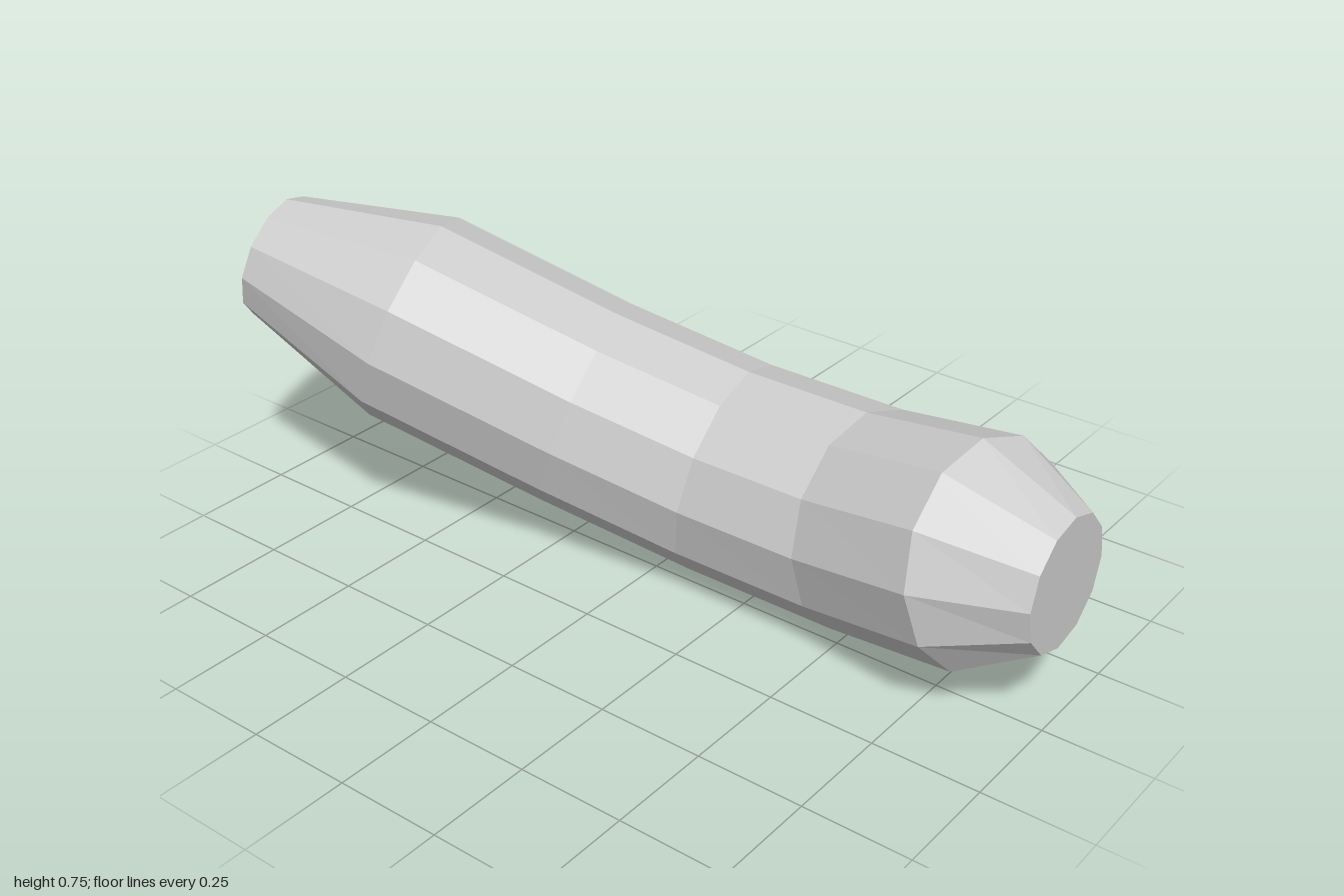
import * as THREE from 'three';

const SIDES = 12;

// Cross-sections from front to back: centre x, y, z, radius, tilt in degrees
const RINGS = [
  [0.038, 0.338, 1.0, 0.15, 0],
  [0.038, 0.338, 0.82, 0.25, -14],
  [0.125, 0.25, 0.48, 0.25, -8],
  [0.125, 0.25, 0.113, 0.25, 12],
  [0.038, 0.338, -0.235, 0.25, 28],
  [-0.142, 0.518, -0.6, 0.25, 28],
  [-0.232, 0.608, -0.948, 0.15, 20],
];

// The tube bends in a diagonal plane; each ring tilts within that plane
function ringPoints([x, y, z, radius, tilt]) {
  const t = THREE.MathUtils.degToRad(tilt);
  const s = Math.SQRT1_2;
  const inner = new THREE.Vector3(-s * Math.cos(t), s * Math.cos(t), Math.sin(t));
  const across = new THREE.Vector3(-s, -s, 0);
  const points = [];
  for (let i = 0; i < SIDES; i++) {
    const a = THREE.MathUtils.degToRad(-48 + (i * 360) / SIDES);
    points.push(new THREE.Vector3(x, y, z)
      .addScaledVector(inner, radius * Math.cos(a))
      .addScaledVector(across, radius * Math.sin(a)));
  }
  return points;
}

function meshFromTriangles(name, corners, material) {
  const geometry = new THREE.BufferGeometry().setFromPoints(corners);
  geometry.computeVertexNormals(); // unshared corners give flat facets
  const mesh = new THREE.Mesh(geometry, material);
  mesh.name = name;
  return mesh;
}

export function createModel() {
  const group = new THREE.Group();
  group.name = 'bentSausage';
  const grey = new THREE.MeshStandardMaterial({ color: 0xcccccc });
  grey.name = 'light grey';
  const rings = RINGS.map(ringPoints);

  // Faceted skin between neighbouring rings
  const skin = [];
  for (let r = 0; r < rings.length - 1; r++) {
    for (let i = 0; i < SIDES; i++) {
      const j = (i + 1) % SIDES;
      const a = rings[r][i], b = rings[r][j];
      const c = rings[r + 1][i], d = rings[r + 1][j];
      skin.push(a, c, b, b, c, d);
    }
  }
  group.add(meshFromTriangles('skin', skin, grey));

  // Flat ends
  const front = [], back = [];
  const first = rings[0], last = rings[rings.length - 1];
  for (let i = 1; i < SIDES - 1; i++) {
    front.push(first[0], first[i], first[i + 1]);
    back.push(last[0], last[i + 1], last[i]);
  }
  group.add(meshFromTriangles('frontEnd', front, grey));
  group.add(meshFromTriangles('backEnd', back, grey));
  return group;
}
